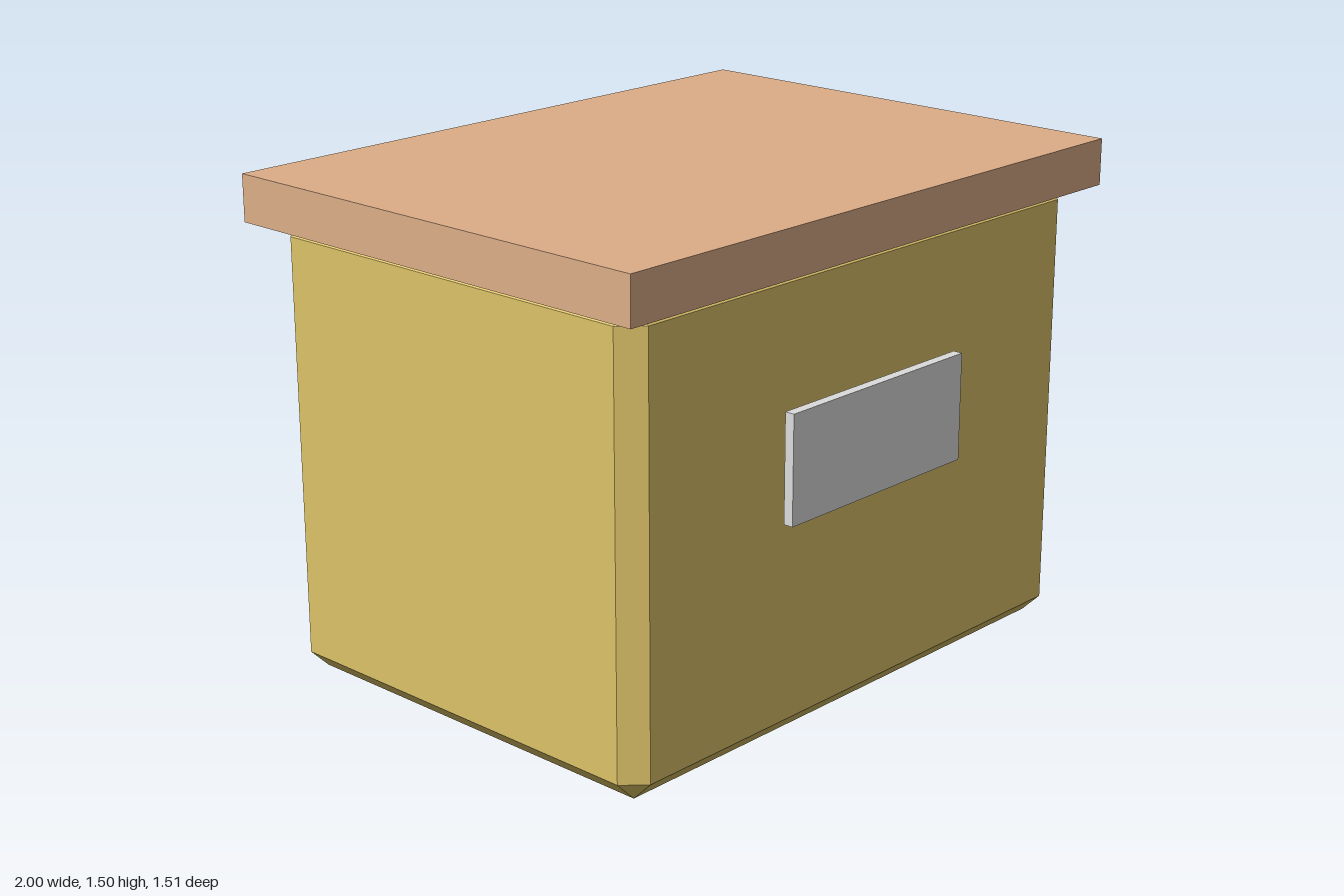
import * as THREE from 'three';
import { ConvexGeometry } from 'three/addons/geometries/ConvexGeometry.js';

function material(name, color) {
  const m = new THREE.MeshStandardMaterial({ color });
  m.name = name;
  return m;
}

// Box with every edge cut at 45 degrees: each corner becomes three points
function chamferedBox(w, h, d, c) {
  const points = [];
  for (const x of [-1, 1]) for (const y of [-1, 1]) for (const z of [-1, 1]) {
    for (const face of [0, 1, 2]) {
      const inset = [0, 1, 2].map((axis) => (axis === face ? 0 : c));
      points.push(new THREE.Vector3(
        x * (w / 2 - inset[0]), y * (h / 2 - inset[1]), z * (d / 2 - inset[2])));
    }
  }
  return new ConvexGeometry(points);
}

export function createModel() {
  const model = new THREE.Group();
  model.name = 'storageBox';

  const add = (name, geometry, mat, y, z = 0) => {
    const mesh = new THREE.Mesh(geometry, mat);
    mesh.name = name;
    mesh.position.set(0, y, z);
    model.add(mesh);
  };

  // Body, its top chamfer running up into the lid
  add('body', chamferedBox(1.874, 1.39, 1.387, 0.062), material('mustard', 0xdcc268), 0.695);

  // Overhanging flat lid
  add('lid', new THREE.BoxGeometry(2, 0.14, 1.507), material('tan', 0xddae88), 1.43);

  // Label plate standing just off the front
  add('labelPlate', new THREE.BoxGeometry(0.734, 0.322, 0.03), material('lightGrey', 0xdcdcdc), 0.819, 0.725);

  return model;
}
